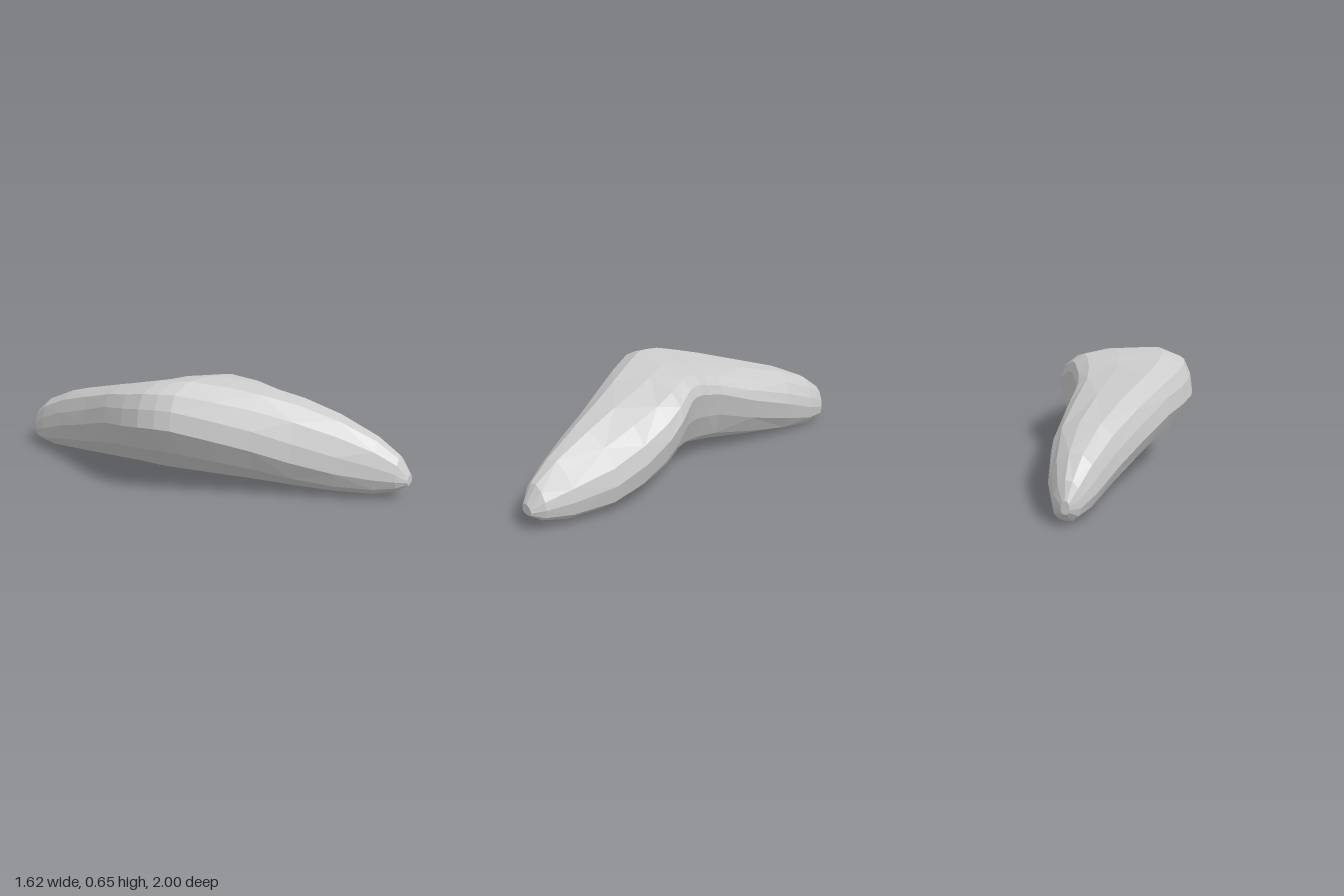
import * as THREE from 'three';

// Stations from the back tip to the front tip:
// outer x, outer z, inner x, inner z, bottom y, top y, share of the elbow section
const stations = [
  [-0.79, -0.98, -0.75, -1.00, 0.07, 0.14, 0],
  [-0.81, -0.92, -0.67, -0.98, 0.02, 0.23, 0],
  [-0.80, -0.80, -0.53, -0.87, 0.00, 0.33, 0.2],
  [-0.75, -0.58, -0.36, -0.68, 0.01, 0.425, 0.5],
  [-0.69, -0.30, -0.19, -0.41, 0.035, 0.505, 0.75],
  [-0.65, -0.05, -0.06, -0.18, 0.06, 0.57, 1],
  [-0.615, 0.13, 0.03, -0.09, 0.07, 0.61, 1],
  [-0.57, 0.26, 0.10, -0.04, 0.075, 0.64, 1],
  [-0.51, 0.345, 0.15, 0.00, 0.075, 0.65, 1],
  [-0.44, 0.405, 0.21, 0.035, 0.07, 0.655, 0.95],
  [-0.25, 0.505, 0.34, 0.10, 0.05, 0.625, 0.75],
  [-0.05, 0.60, 0.43, 0.18, 0.035, 0.585, 0.5],
  [0.15, 0.70, 0.55, 0.32, 0.02, 0.53, 0.2],
  [0.36, 0.82, 0.66, 0.49, 0.01, 0.45, 0],
  [0.55, 0.92, 0.76, 0.72, 0.015, 0.345, 0],
  [0.66, 0.98, 0.81, 0.87, 0.05, 0.25, 0],
  [0.73, 1.00, 0.805, 0.95, 0.09, 0.15, 0],
];

// Cross-sections: across from outer (0) to inner (1), height from bottom (0) to top (1)
const armSection = [
  [0, 0.36], [0.02, 0.58], [0.1, 0.82], [0.29, 0.97], [0.54, 0.99], [0.8, 0.83], [0.95, 0.6],
  [1, 0.38], [0.94, 0.15], [0.76, 0.03], [0.52, 0], [0.3, 0.02], [0.09, 0.16],
];
// Broad flat top with both sides undercut
const elbowSection = [
  [0, 0.6], [0.02, 0.78], [0.07, 0.92], [0.25, 1], [0.6, 0.96], [0.87, 0.9], [0.97, 0.82],
  [1, 0.72], [0.94, 0.44], [0.82, 0.15], [0.62, 0], [0.4, 0.04], [0.13, 0.32],
];

function bentBody() {
  const lerp = THREE.MathUtils.lerp;
  const n = armSection.length;
  const positions = [];
  const index = [];
  const addPoint = ([ox, oz, ix, iz, low, high], u, v) =>
    positions.push(lerp(ox, ix, u), lerp(low, high, v), lerp(oz, iz, u));

  stations.forEach((s) => armSection.forEach(([u, v], j) => {
    const [elbowU, elbowV] = elbowSection[j];
    addPoint(s, lerp(u, elbowU, s[6]), lerp(v, elbowV, s[6]));
  }));

  // Skin between neighbouring sections, with alternating diagonals
  for (let i = 0; i < stations.length - 1; i++) {
    for (let j = 0; j < n; j++) {
      const a = i * n + j, b = i * n + ((j + 1) % n);
      const c = a + n, d = b + n;
      if ((i + j) % 2) index.push(a, c, b, b, c, d);
      else index.push(a, c, d, a, d, b);
    }
  }

  // Blunt tips
  const last = stations.length - 1;
  const start = positions.length / 3;
  addPoint(stations[0], 0.5, 0.5);
  addPoint(stations[last], 0.5, 0.5);
  for (let j = 0; j < n; j++) {
    const k = (j + 1) % n;
    index.push(start, j, k, start + 1, last * n + k, last * n + j);
  }

  const geometry = new THREE.BufferGeometry();
  geometry.setAttribute('position', new THREE.Float32BufferAttribute(positions, 3));
  geometry.setIndex(index);
  const faceted = geometry.toNonIndexed();
  faceted.computeVertexNormals();
  return faceted;
}

export function createModel() {
  const group = new THREE.Group();
  group.name = 'bentRock';
  const stone = new THREE.MeshStandardMaterial({ color: 0xcccccc });
  stone.name = 'light grey stone';
  stone.flatShading = true;
  const body = new THREE.Mesh(bentBody(), stone);
  body.name = 'rockBody';
  group.add(body);
  return group;
}
